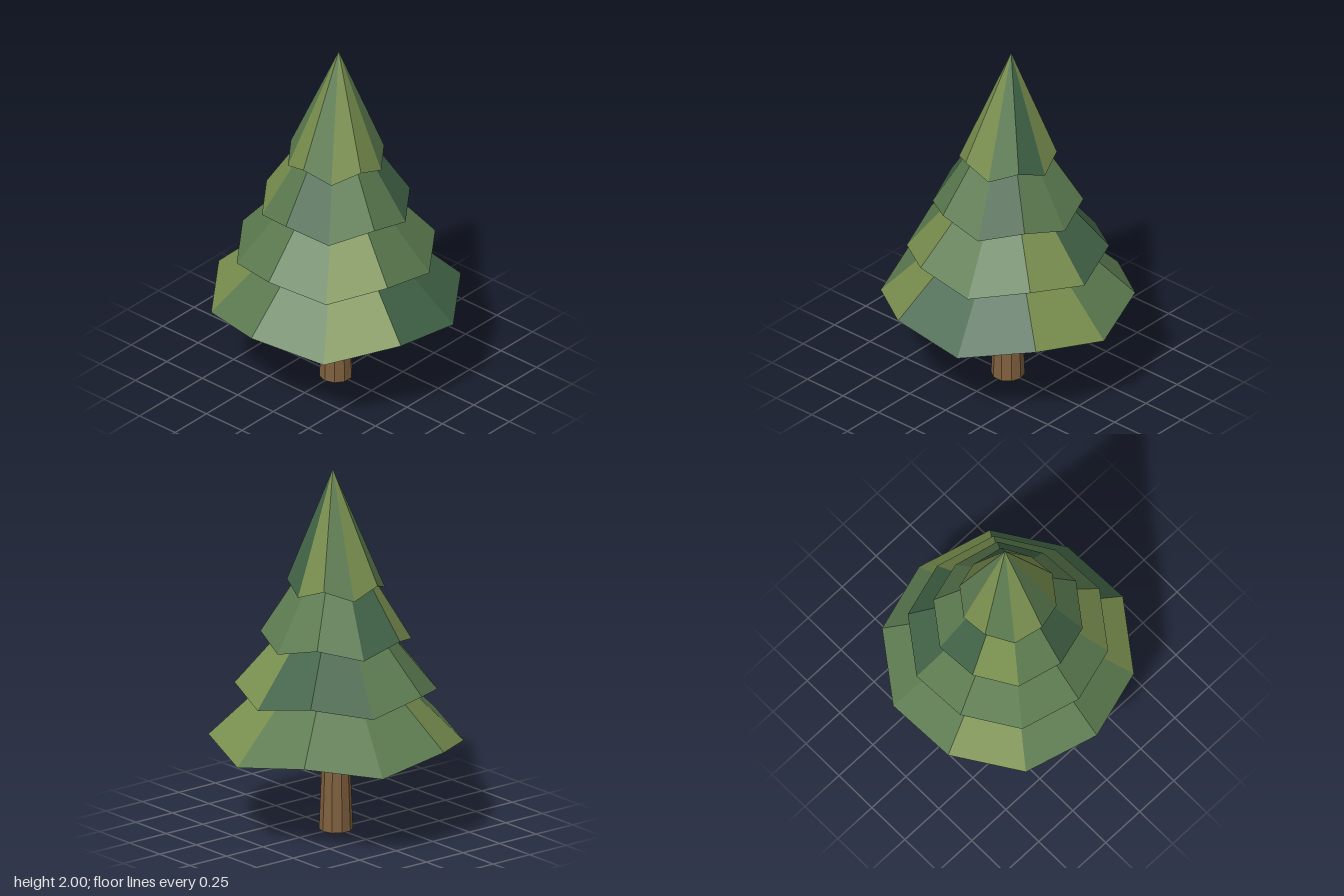
import * as THREE from 'three';

const SIDES = 10;

function material(name, color) {
  const m = new THREE.MeshStandardMaterial({ color });
  m.name = name;
  return m;
}

// A ten-sided cone with a zigzag rim; one colour letter per panel, plus one for the underside.
function makeTier({ radius, low, high, top, topX = 0, panels, under }, materials) {
  const keys = Object.keys(materials);
  const rim = [];
  for (let i = 0; i < SIDES; i++) {
    const a = (i / SIDES) * Math.PI * 2;
    rim.push([radius * Math.cos(a), i % 2 ? high : low, radius * Math.sin(a)]);
  }
  const apex = [topX, top, 0];
  const hub = [0, (low + high) / 2, 0];

  const geometry = new THREE.BufferGeometry();
  const positions = [];
  const addTriangle = (a, b, c, key) => {
    geometry.addGroup(positions.length / 3, 3, keys.indexOf(key));
    positions.push(...a, ...b, ...c);
  };
  for (let i = 0; i < SIDES; i++) {
    const p = rim[i], q = rim[(i + 1) % SIDES];
    addTriangle(apex, q, p, panels[i]);
    addTriangle(hub, p, q, under);
  }
  geometry.setAttribute('position', new THREE.Float32BufferAttribute(positions, 3));
  geometry.computeVertexNormals();
  return new THREE.Mesh(geometry, Object.values(materials));
}

export function createModel() {
  const tree = new THREE.Group();
  tree.name = 'pineTree';

  const bark = material('barkBrown', 0x7f603e);
  bark.flatShading = true;
  const greens = {
    M: material('midGreen', 0x5c7b50),
    L: material('oliveGreen', 0x798f4f),
    T: material('deepGreen', 0x416347),
  };

  // Tapered trunk, its top hidden inside the lowest tier
  const trunkGeometry = new THREE.CylinderGeometry(0.066, 0.09, 0.62, SIDES);
  trunkGeometry.rotateY(Math.PI / 2);
  const trunk = new THREE.Mesh(trunkGeometry, bark);
  trunk.position.y = 0.31;
  trunk.name = 'trunk';
  tree.add(trunk);

  // Foliage tiers from bottom to top; panels run from +x round towards +z
  const tiers = [
    { radius: 0.675, low: 0.475, high: 0.537, top: 1.165, panels: 'LTTLMMLMMM', under: 'M' },
    { radius: 0.537, low: 0.763, high: 0.822, top: 1.43, panels: 'LMMLMMMMTT', under: 'M' },
    { radius: 0.4, low: 1.046, high: 1.105, top: 1.72, panels: 'MTMMTMLTMM', under: 'L' },
    { radius: 0.26, low: 1.333, high: 1.39, top: 2, topX: 0.022, panels: 'TMLLMLMLML', under: 'L' },
  ];
  tiers.forEach((spec, i) => {
    const tier = makeTier(spec, greens);
    tier.name = `foliageTier${i + 1}`;
    tree.add(tier);
  });

  return tree;
}
